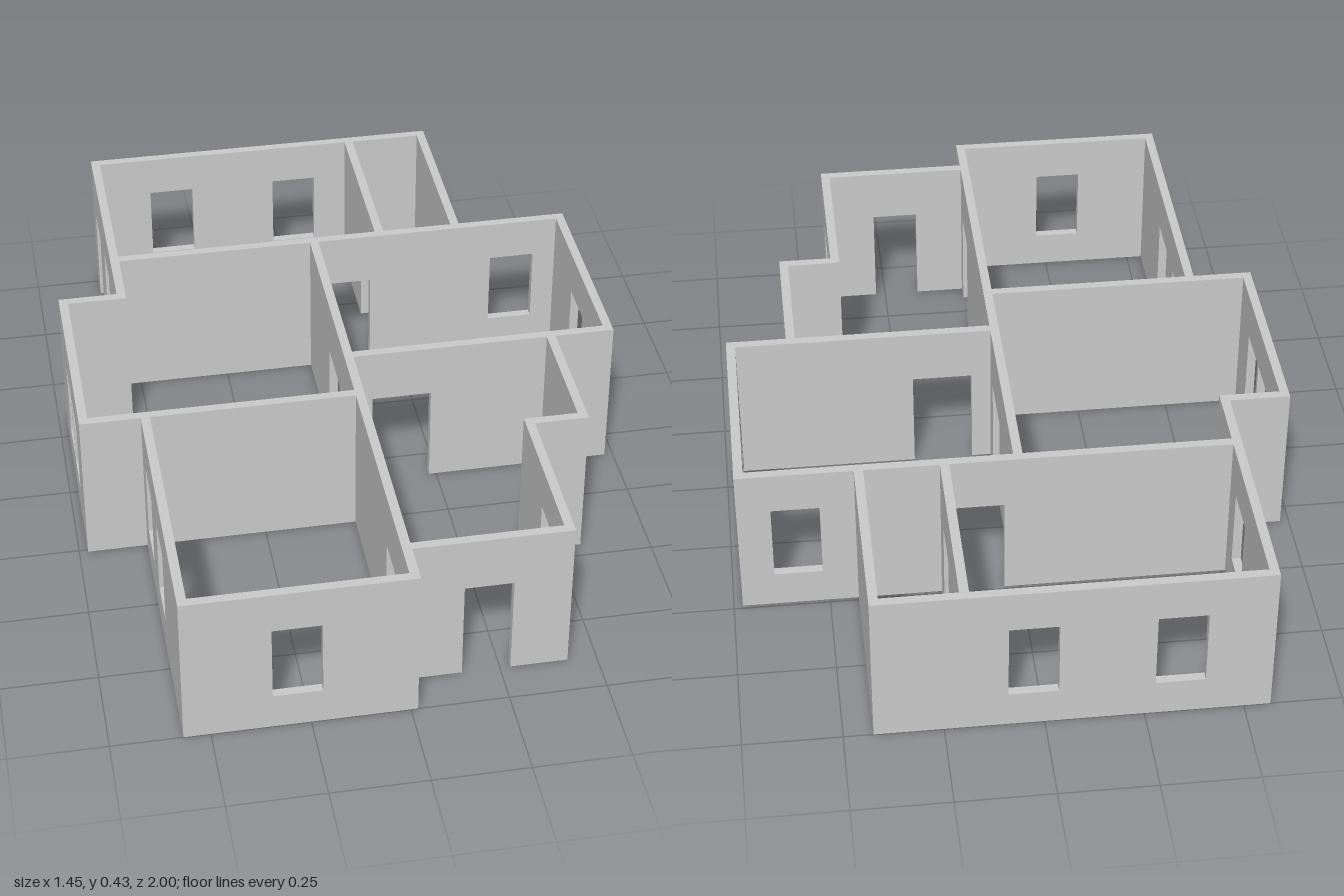
import * as THREE from 'three';

const HEIGHT = 0.425, THICK = 0.024, HALF = THICK / 2;
const DOOR_TOP = 0.278, SILL = 0.1, WINDOW_TOP = 0.312;
const material = new THREE.MeshStandardMaterial({ color: 0xcccccc });

// A wall running from a to b along one axis, centred on `at` of the other.
// doors and windows are [start, end] spans along the wall, in rising order.
function wall(name, axis, at, a, b, { doors = [], windows = [] } = {}) {
  const shape = new THREE.Shape();
  shape.moveTo(a, 0);
  for (const [s, e] of doors) {
    shape.lineTo(s, 0);
    shape.lineTo(s, DOOR_TOP);
    shape.lineTo(e, DOOR_TOP);
    shape.lineTo(e, 0);
  }
  shape.lineTo(b, 0);
  shape.lineTo(b, HEIGHT);
  shape.lineTo(a, HEIGHT);
  shape.closePath();
  for (const [s, e] of windows) {
    const hole = new THREE.Path();
    hole.moveTo(s, SILL);
    hole.lineTo(s, WINDOW_TOP);
    hole.lineTo(e, WINDOW_TOP);
    hole.lineTo(e, SILL);
    hole.closePath();
    shape.holes.push(hole);
  }
  const geometry = new THREE.ExtrudeGeometry(shape, { depth: THICK, bevelEnabled: false });
  geometry.translate(0, 0, -HALF);
  if (axis === 'z') geometry.rotateY(-Math.PI / 2);
  geometry.translate(axis === 'z' ? at : 0, 0, axis === 'x' ? at : 0);
  const mesh = new THREE.Mesh(geometry, material);
  mesh.name = name;
  return mesh;
}

export function createModel() {
  const house = new THREE.Group();
  house.name = 'houseWalls';

  // wall centre lines
  const X = { farLeft: 0.715, left: 0.555, midLeft: 0.413, closet: 0.195, spine: 0.006, right: -0.556, farRight: -0.715 };
  const Z = { back: -0.988, rear: -0.478, step: -0.297, mid: 0.246, hall: 0.078, notch: 0.443, porch: 0.878, front: 0.988 };

  house.add(
    // back rooms
    wall('backWall', 'x', Z.back, X.right - HALF, X.midLeft + HALF, { windows: [[-0.4, -0.275], [-0.035, 0.09]] }),
    wall('backRoomLeftWall', 'z', X.midLeft, Z.back + HALF, Z.rear - HALF),
    wall('closetWall', 'z', X.closet, Z.back + HALF, Z.rear - HALF, { doors: [[-0.695, -0.565]] }),
    wall('backRoomRightWall', 'z', X.right, Z.back + HALF, Z.step - HALF, { doors: [[-0.935, -0.81]], windows: [[-0.685, -0.56]] }),
    wall('rearCrossWall', 'x', Z.rear, X.right + HALF, X.farLeft + HALF, { doors: [[0.042, 0.167]], windows: [[0.515, 0.64]] }),

    // middle rooms
    wall('middleRightBackWall', 'x', Z.step, X.farRight - HALF, X.right + HALF),
    wall('middleRightWall', 'z', X.farRight, Z.step + HALF, Z.mid - HALF, { windows: [[-0.15, -0.025], [-0.01, 0.115]] }),
    wall('middleRightFrontWall', 'x', Z.mid, X.farRight - HALF, X.spine - HALF),
    wall('middleLeftWall', 'z', X.farLeft, Z.rear + HALF, Z.hall - HALF, { windows: [[-0.262, -0.136]] }),
    wall('middleLeftFrontWall', 'x', Z.hall, X.spine + HALF, X.farLeft + HALF, { doors: [[0.07, 0.23]] }),

    // long wall between the left and right rooms
    wall('spineWall', 'z', X.spine, Z.rear + HALF, Z.front - HALF, { doors: [[-0.15, 0.01], [0.695, 0.82]] }),

    // front rooms
    wall('frontLeftOuterWall', 'z', X.left, Z.hall + HALF, Z.notch - HALF),
    wall('frontLeftNotchWall', 'x', Z.notch, X.midLeft - HALF, X.left + HALF),
    wall('frontLeftSideWall', 'z', X.midLeft, Z.notch + HALF, Z.porch - HALF, { windows: [[0.652, 0.78]] }),
    wall('entranceWall', 'x', Z.porch, X.spine + HALF, X.midLeft + HALF, { doors: [[0.152, 0.277]] }),
    wall('frontRightSideWall', 'z', X.right, Z.mid + HALF, Z.front - HALF, { windows: [[0.32, 0.445], [0.55, 0.675]] }),
    wall('frontWall', 'x', Z.front, X.right - HALF, X.spine + HALF, { windows: [[-0.345, -0.22]] }),
  );
  return house;
}
